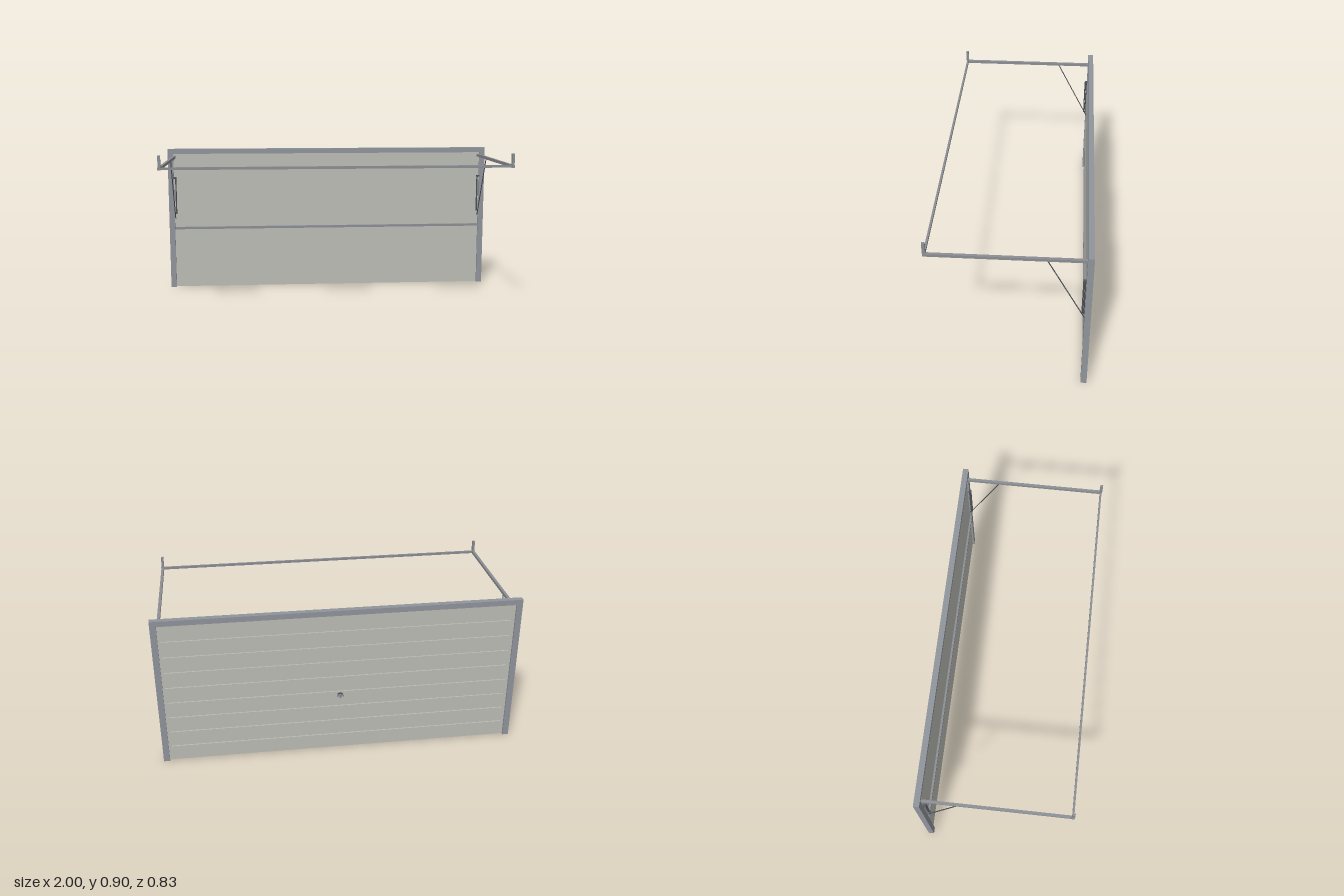
import * as THREE from 'three';

export function createModel() {
  const model = new THREE.Group();
  const mat = (name, color) => {
    const m = new THREE.MeshStandardMaterial({ color });
    m.name = name;
    return m;
  };
  const frameSteel = mat('frame steel', 0x90959c);
  const panelGrey = mat('panel warm grey', 0xbdbdb6);
  const railSteel = mat('rail steel', 0x8b8e93);
  const darkSteel = mat('dark steel', 0x50535a);

  const add = (name, geometry, material) => {
    const mesh = new THREE.Mesh(geometry, material);
    mesh.name = name;
    model.add(mesh);
    return mesh;
  };
  // Box given by its minimum and maximum on each axis
  const box = (name, material, [x0, x1], [y0, y1], [z0, z1]) => {
    const mesh = add(name, new THREE.BoxGeometry(x1 - x0, y1 - y0, z1 - z0), material);
    mesh.position.set((x0 + x1) / 2, (y0 + y1) / 2, (z0 + z1) / 2);
    return mesh;
  };
  // Round bar between two points
  const rod = (name, material, a, b, radius, sides = 10) => {
    const dir = b.clone().sub(a);
    const mesh = add(name, new THREE.CylinderGeometry(radius, radius, dir.length(), sides), material);
    mesh.position.copy(a).add(b).multiplyScalar(0.5);
    mesh.quaternion.setFromUnitVectors(new THREE.Vector3(0, 1, 0), dir.normalize());
    return mesh;
  };
  const V = (x, y, z) => new THREE.Vector3(x, y, z);

  // Door surround: one piece, open at the floor
  const outline = new THREE.Shape([
    [-1, 0], [-0.966, 0], [-0.966, 0.845], [0.966, 0.845],
    [0.966, 0], [1, 0], [1, 0.875], [-1, 0.875],
  ].map(([x, y]) => new THREE.Vector2(x, y)));
  const frame = add('doorFrame',
    new THREE.ExtrudeGeometry(outline, { depth: 0.032, bevelEnabled: false }), frameSteel);
  frame.position.z = -0.41;

  // Door leaf: backing sheet with nine planks on the outer side
  const planks = 9, pitch = 0.845 / planks, gap = 0.007;
  box('doorSheet', panelGrey, [-0.966, 0.966], [0.002, 0.845], [-0.393, -0.388]);
  for (let i = 0; i < planks; i++) {
    box('doorPlank', panelGrey, [-0.96, 0.96],
      [i * pitch + gap / 2, (i + 1) * pitch - gap / 2], [-0.4, -0.393]);
  }
  // Plank ends joined by narrow edge strips
  for (const s of [-1, 1]) {
    const xs = [s * 0.966, s * 0.95].sort((a, b) => a - b);
    box('doorEdge', panelGrey, xs, [0.002, 0.843], [-0.3995, -0.393]);
  }

  // Inside cross bar
  box('crossBar', railSteel, [-0.965, 0.965], [0.371, 0.385], [-0.388, -0.376]);

  // Overhead track: front bar, and on each side a rail, hanger, brace and springs
  box('frontBar', railSteel, [-0.968, 0.968], [0.82, 0.834], [0.402, 0.413]);
  for (const s of [-1, 1]) {
    const span = (a, b) => (s > 0 ? [a, b] : [-b, -a]);
    box('sideRail', railSteel, span(0.951, 0.966), [0.818, 0.834], [-0.385, 0.415]);
    box('hanger', railSteel, span(0.95, 0.964), [0.834, 0.897], [0.4, 0.416]);
    rod('brace', darkSteel, V(s * 0.961, 0.82, -0.187), V(s * 0.961, 0.44, -0.383), 0.003, 8);
    for (const z of [-0.366, -0.374]) {
      rod('spring', darkSteel, V(s * 0.953, 0.47, z), V(s * 0.953, 0.7, z), 0.0036);
    }
    box('springBracket', darkSteel, span(0.95, 0.968), [0.69, 0.7], [-0.38, -0.364]);
  }

  // Outside handle: round plate, stem and grip
  const plate = rod('handlePlate', darkSteel, V(0, 0.352, -0.399), V(0, 0.352, -0.404), 0.013, 20);
  plate.scale.x = 1.2;
  rod('handleStem', railSteel, V(0, 0.352, -0.402), V(0, 0.352, -0.412), 0.005);
  box('handleGrip', railSteel, [-0.02, 0.02], [0.347, 0.357], [-0.416, -0.41]);
  box('handleLever', railSteel, [-0.004, 0.004], [0.336, 0.347], [-0.415, -0.41]);

  return model;
}
